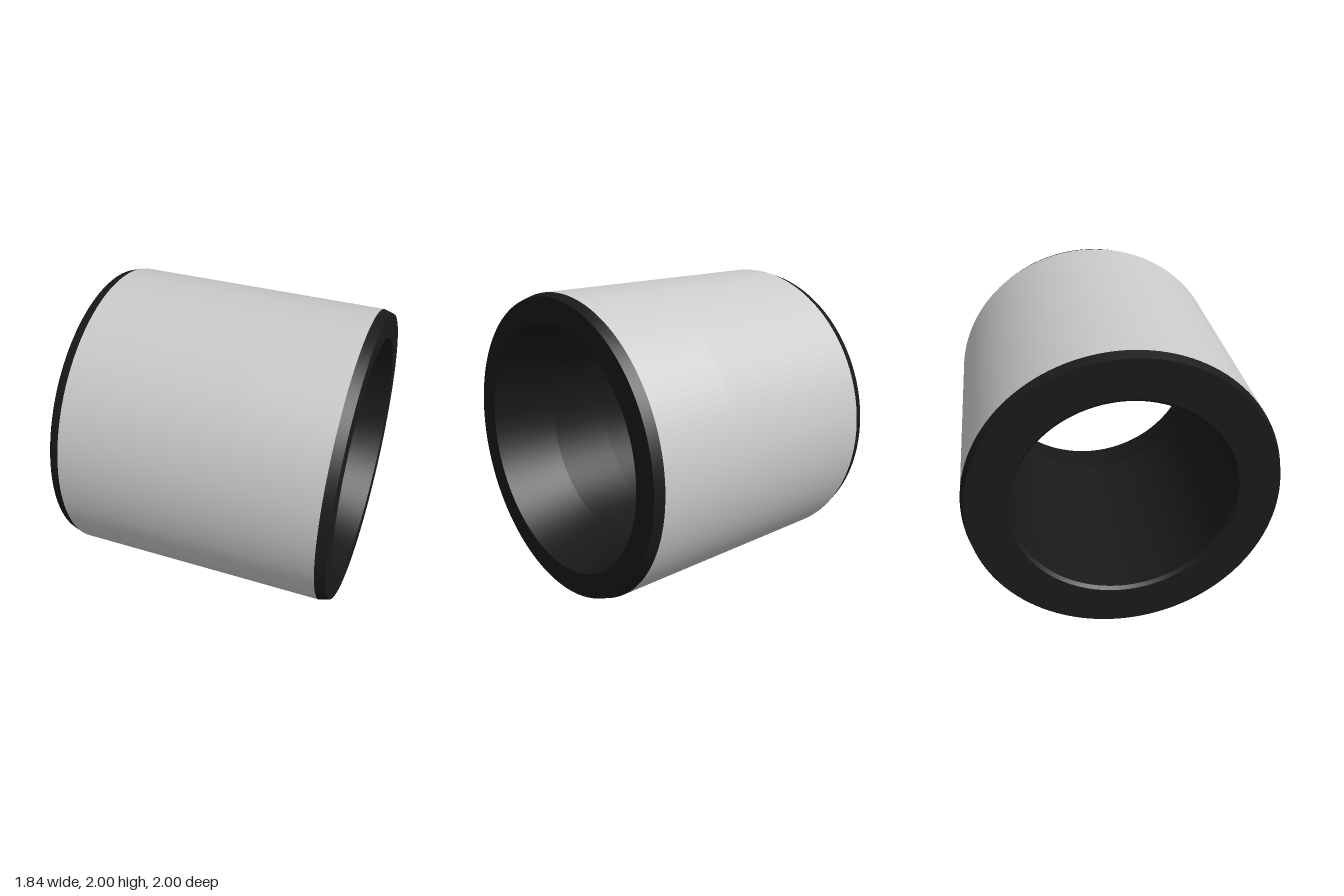
import * as THREE from 'three';
import { mergeGeometries } from 'three/addons/utils/BufferGeometryUtils.js';

const SEGMENTS = 128;

// Revolves each straight run of [x, radius] points on its own, so the edges between runs stay crisp.
function turned(name, profile, material) {
  const bands = [];
  for (let i = 0; i < profile.length - 1; i++) {
    const run = [profile[i], profile[i + 1]].map(([x, r]) => new THREE.Vector2(r, x));
    bands.push(new THREE.LatheGeometry(run, SEGMENTS));
  }
  const geometry = mergeGeometries(bands);
  geometry.rotateZ(-Math.PI / 2); // lay the turning axis along x
  geometry.translate(0, 1, 0);
  const mesh = new THREE.Mesh(geometry, material);
  mesh.name = name;
  return mesh;
}

export function createModel() {
  const group = new THREE.Group();
  group.name = 'bushing';
  const grey = new THREE.MeshStandardMaterial({ color: 0xcccccc, side: THREE.DoubleSide });
  const black = new THREE.MeshStandardMaterial({ color: 0x1a1a1a, side: THREE.DoubleSide });

  const end = 0.92, shoulder = 0.855, seam = 0.29;
  const rim = 0.98, bore = 0.7, mouth = 0.82;

  // Outer shell in two lengths that meet at the seam
  group.add(turned('longSleeve', [[-shoulder, 1], [seam, 1]], grey));
  group.add(turned('shortSleeve', [[seam, 1], [shoulder, 1]], grey));

  // Right end: chamfer, flat face and tapered mouth
  group.add(turned('taperedEnd', [
    [shoulder, 1], [end, rim], [end, mouth], [0.5, bore],
  ], black));

  // Straight bore
  group.add(turned('bore', [[0.5, bore], [0.05, bore], [-end + 0.02, bore]], black));

  // Left end: eased bore edge, flat face and chamfer
  group.add(turned('plainEnd', [
    [-end + 0.02, bore], [-end, bore + 0.02], [-end, rim], [-shoulder, 1],
  ], black));

  return group;
}
